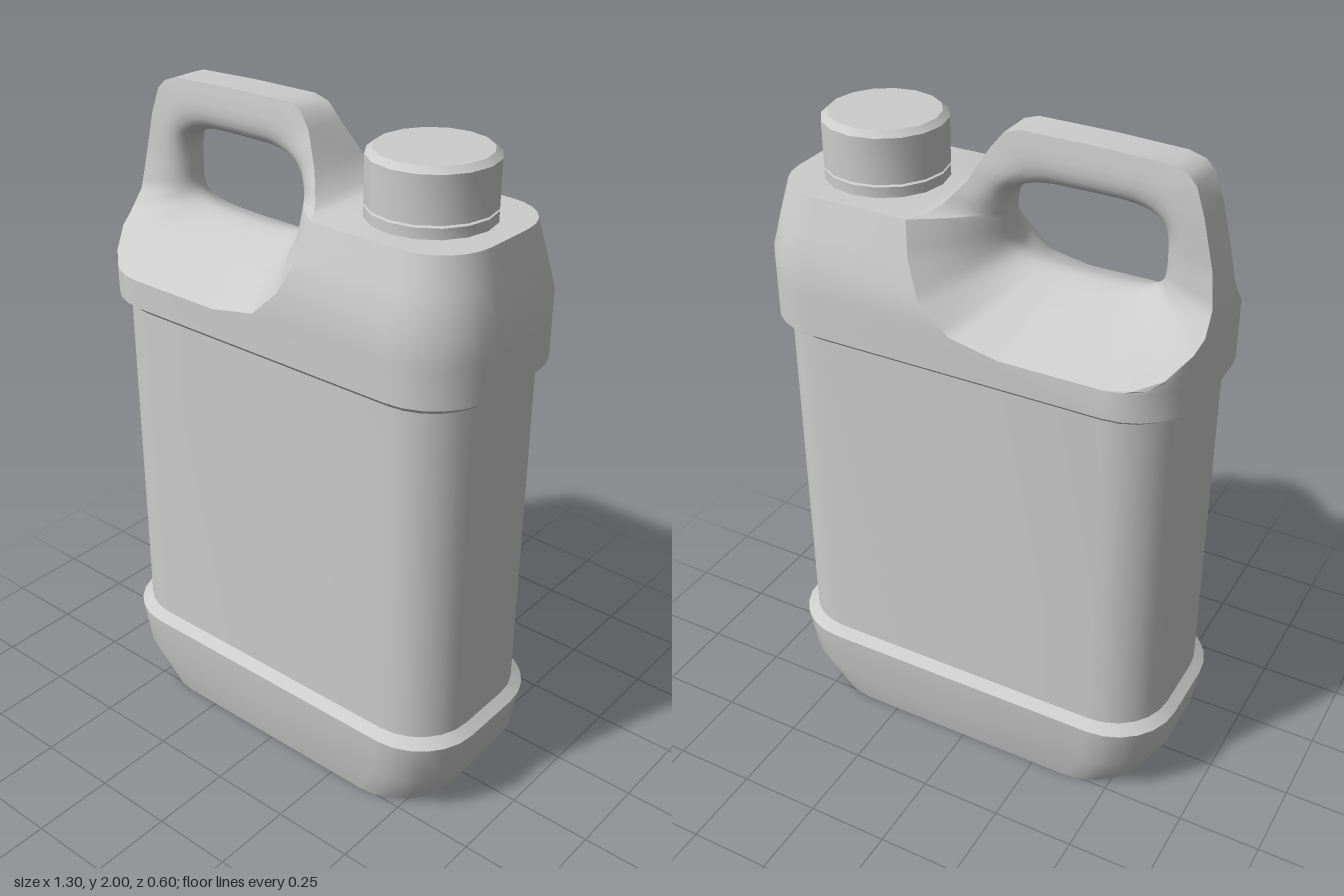
import * as THREE from 'three';
import { mergeGeometries, toCreasedNormals } from 'three/addons/utils/BufferGeometryUtils.js';

const K = 6; // segments per rounded corner
const CREASE = 0.6;

// Skin a grid of points: rows of equal length, each point [x, y, z]
function skin(rows) {
  const pos = [];
  const v = (p) => new THREE.Vector3(...p);
  const tri = (a, b, c) => {
    const area = v(b).sub(v(a)).cross(v(c).sub(v(a))).length();
    if (area > 1e-8) pos.push(...a, ...b, ...c);
  };
  for (let i = 0; i < rows.length - 1; i++) {
    for (let j = 0; j < rows[i].length - 1; j++) {
      const [a, b, c, d] = [rows[i][j], rows[i + 1][j], rows[i + 1][j + 1], rows[i][j + 1]];
      tri(a, b, c);
      tri(a, c, d);
    }
  }
  const g = new THREE.BufferGeometry();
  g.setAttribute('position', new THREE.Float32BufferAttribute(pos, 3));
  return g;
}

// Right-hand (+x) end of a rounded section, from -z round to +z
function endRow(y, hx, hz, r, xStart) {
  const pts = [[xStart, y, -hz]];
  for (const s of [-1, 1]) {
    for (let i = 0; i <= K; i++) {
      const a = (Math.PI / 2) * (s < 0 ? 1 - i / K : i / K);
      pts.push([hx - r + r * Math.cos(a), y, s * (hz - r + r * Math.sin(a))]);
    }
  }
  pts.push([xStart, y, hz]);
  return pts;
}

// Full closed rounded section
function ring(y, hx, hz, r) {
  const half = endRow(y, hx, hz, r, 0);
  const other = half.map(([x, , z]) => [-x, y, -z]);
  return [...half, ...other];
}

// Row across the -x end, starting at half-width zc on the rounded corner
function spineRow(x, y, zc, hz = 0.3, r = 0.2) {
  const flat = Math.min(zc, hz - r);
  const ac = zc > hz - r ? Math.asin(Math.min(1, (zc - flat) / r)) : 0;
  const front = [];
  for (let i = 0; i <= K; i++) {
    const a = ac * (1 - i / K);
    front.push([x + r - r * Math.cos(a), y, flat + r * Math.sin(a)]);
  }
  return [...front, ...front.map(([px, py, pz]) => [px, py, -pz]).reverse()];
}

function makeBottle() {
  // Base, recessed waist and lower shoulder: y, half width, half depth, corner radius
  const levels = [
    [0, 0.56, 0.26, 0.2], [0.13, 0.63, 0.29, 0.2], [0.265, 0.65, 0.3, 0.2], [0.29, 0.62, 0.27, 0.18],
    [1.355, 0.62, 0.27, 0.18], [1.38, 0.65, 0.3, 0.2], [1.465, 0.65, 0.3, 0.2],
  ];
  const rings = levels.map((l) => ring(...l));
  const bottom = skin([rings[0].map(() => [0, 0, 0]), rings[0]]);

  // Shoulder beneath the cap, ending at the handle crease
  const shoulderRows = [
    endRow(1.465, 0.65, 0.3, 0.2, -0.15),
    endRow(1.495, 0.65, 0.3, 0.2, 0),
    endRow(1.58, 0.65, 0.3, 0.2, 0.09),
    endRow(1.68, 0.628, 0.27, 0.18, 0.135),
    endRow(1.775, 0.605, 0.24, 0.16, 0.155),
  ];
  const rim = shoulderRows[4];
  const deck = [...rim, rim[0]];
  const top = skin([deck, deck.map(() => [0.38, 1.775, 0])]);

  // Outer strip of the handle: up the end, over the grip, down to the deck
  const spine = [
    [-0.65, 1.465, 0.3], [-0.65, 1.475, 0.285], [-0.65, 1.5, 0.24], [-0.65, 1.55, 0.17], [-0.65, 1.58, 0.125],
    [-0.645, 1.64, 0.08], [-0.63, 1.74, 0.066], [-0.597, 1.875, 0.064], [-0.57, 1.95, 0.06], [-0.545, 1.975, 0.058],
    [-0.5, 1.99, 0.055], [-0.3, 1.998, 0.055], [-0.08, 2, 0.055], [-0.035, 1.985, 0.058], [0, 1.94, 0.065],
    [0.05, 1.85, 0.1], [0.1, 1.79, 0.155], [0.125, 1.778, 0.19], [0.155, 1.775, 0.24],
  ];
  const spineRows = spine.map(([x, y, z], i) =>
    i < 10 ? spineRow(x, y, z) : spineRow(x, y, z, 0.5, 0.2));

  // Closed crease around the grip, counterclockwise from the front
  const crease = [
    ...shoulderRows.slice(0, 4).map((row) => row[row.length - 1]),
    ...spineRows.map((row) => row[0]).reverse(),
  ];
  const loop = [];
  crease.forEach((p, i) => {
    const q = crease[(i + 1) % crease.length];
    const n = Math.max(1, Math.ceil(Math.hypot(q[0] - p[0], q[1] - p[1]) / 0.03));
    for (let k = 0; k < n; k++) loop.push(p.map((c, m) => c + ((q[m] - c) * k) / n));
  });
  loop.push(loop[0]);

  // Concave flanks running from the crease through the finger hole to the back
  const [cx, cy, a, b] = [-0.265, 1.732, 0.225, 0.123];
  const steps = [0, 0.2, 0.4, 0.58, 0.74, 0.86, 0.94, 0.985, 1];
  const flankRows = loop.map(([x, y, z]) => {
    const t = Math.atan2(y - cy, x - cx);
    const r = (Math.abs(Math.cos(t) / a) ** 4 + Math.abs(Math.sin(t) / b) ** 4) ** -0.25;
    const [hx, hy] = [cx + r * Math.cos(t), cy + r * Math.sin(t)];
    const front = steps.map((u) => [
      x + (hx - x) * u, y + (hy - y) * u, (z + (0.075 - z) * u) * Math.sqrt(1 - u ** 4),
    ]);
    return [...front, ...front.slice(0, -1).reverse().map(([px, py, pz]) => [px, py, -pz])];
  });

  const parts = [skin(rings), bottom, skin(shoulderRows), top, skin(spineRows), skin(flankRows)];
  return toCreasedNormals(mergeGeometries(parts), CREASE);
}

export function createModel() {
  const group = new THREE.Group();
  group.name = 'jug';
  const material = new THREE.MeshStandardMaterial({ color: 0xcccccc });
  const add = (name, geometry, x = 0) => {
    const mesh = new THREE.Mesh(geometry, material);
    mesh.name = name;
    mesh.position.x = x;
    group.add(mesh);
  };
  const lathe = (pts) =>
    toCreasedNormals(new THREE.LatheGeometry(pts.map((p) => new THREE.Vector2(...p)), 16), CREASE);

  add('bottleWithHandle', makeBottle());
  // Neck collar and screw cap
  add('neckCollar', lathe([[0.177, 1.77], [0.177, 1.805], [0.165, 1.808], [0.165, 1.82]]), 0.36);
  add('screwCap', lathe([[0, 1.812], [0.177, 1.812], [0.177, 1.942], [0.158, 1.958], [0, 1.958]]), 0.36);
  return group;
}
